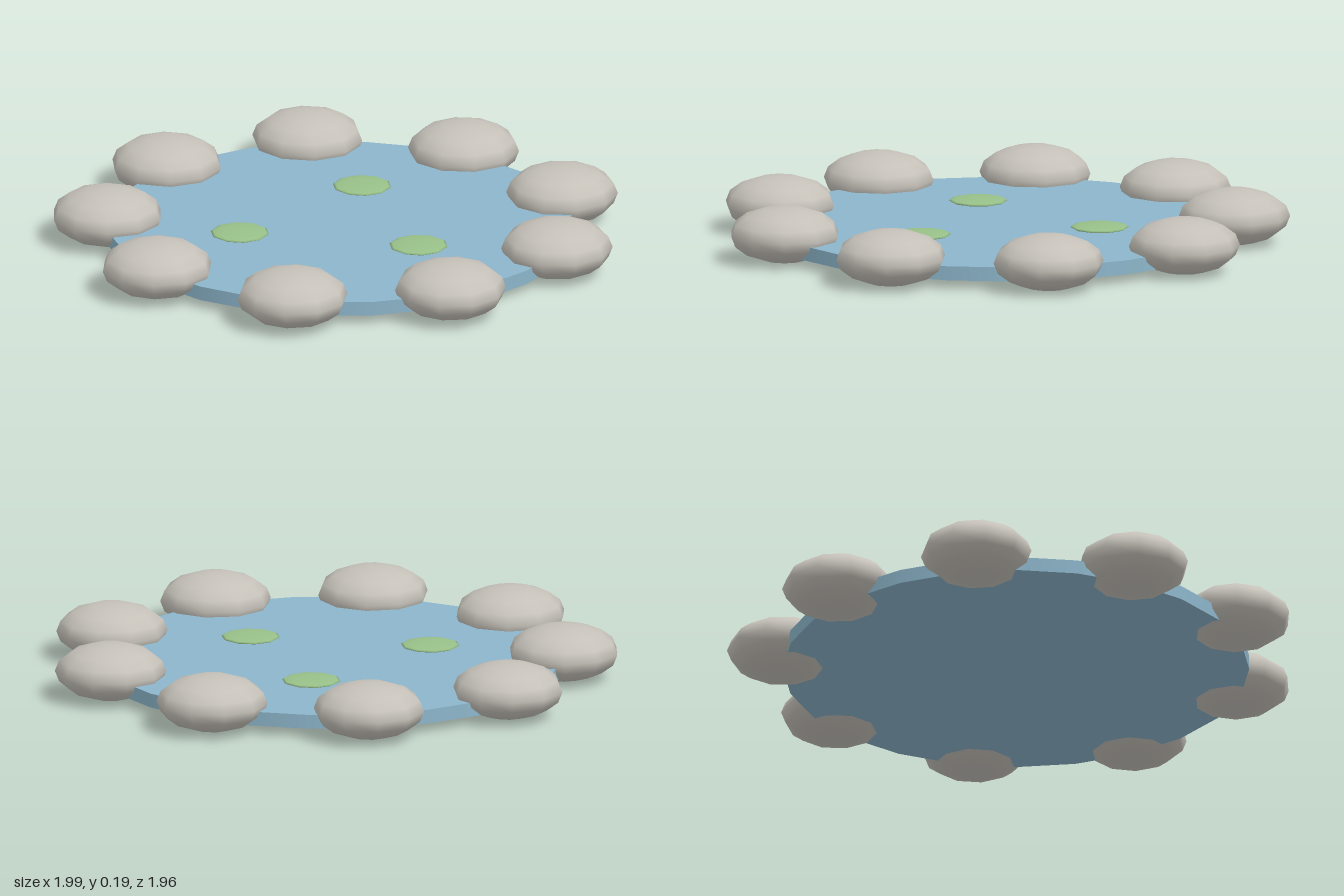
import * as THREE from 'three';

export function createModel() {
  const pond = new THREE.Group();
  pond.name = 'pond';

  const paint = (name, color) => {
    const m = new THREE.MeshStandardMaterial({ color });
    m.name = name;
    return m;
  };
  const water = paint('water blue', 0x8cb5ca);
  const stone = paint('stone grey', 0xc5c1b9);
  const leaf = paint('leaf green', 0x98c088);

  const add = (name, geometry, material, x, y, z, turn = 0) => {
    const mesh = new THREE.Mesh(geometry, material);
    mesh.name = name;
    mesh.position.set(x, y, z);
    mesh.rotation.y = turn;
    pond.add(mesh);
  };

  // Water disc
  const centreZ = 0.02;
  add('waterDisc', new THREE.CylinderGeometry(0.815, 0.815, 0.05, 24), water, 0, 0.055, centreZ);

  // Ring of nine flattened stones, the first one at the back
  const stoneShape = new THREE.SphereGeometry(0.195, 10, 8).scale(1, 0.5, 1);
  for (let i = 0; i < 9; i++) {
    const a = (i / 9) * Math.PI * 2 - Math.PI / 2;
    add(`rimStone${i + 1}`, stoneShape, stone,
      Math.cos(a) * 0.815, 0.0975, centreZ + Math.sin(a) * 0.815, a);
  }

  // Floating lily pads
  const padShape = new THREE.SphereGeometry(0.103, 10, 8).scale(1, 0.1, 1);
  [[0.125, -0.32], [-0.365, 0.09], [0.235, 0.305]].forEach(([x, z], i) =>
    add(`lilyPad${i + 1}`, padShape, leaf, x, 0.086, z, Math.PI / 2));

  return pond;
}
